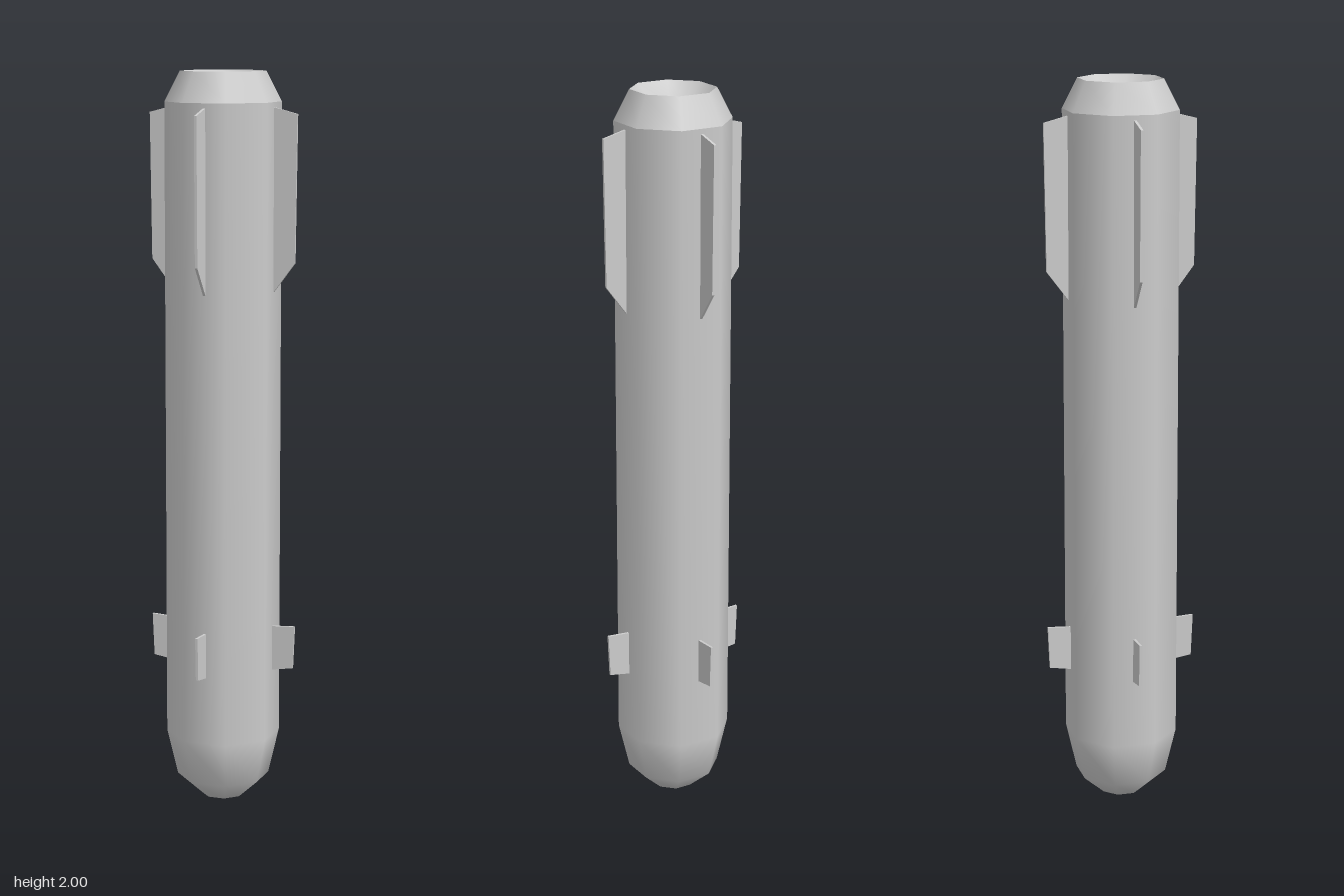
import * as THREE from 'three';

export function createModel() {
  const model = new THREE.Group();
  const grey = new THREE.MeshStandardMaterial({ color: 0xcccccc });
  grey.name = 'light grey';

  // Eight-sided turned part; profile points are [distance to flat side, height]
  const corner = 1 / Math.cos(Math.PI / 8);
  function turned(name, profile) {
    const points = profile.map(([r, y]) => new THREE.Vector2(r * corner, y));
    const mesh = new THREE.Mesh(new THREE.LatheGeometry(points, 8, Math.PI / 8), grey);
    mesh.name = name;
    model.add(mesh);
  }

  // Rounded nose runs smoothly into the tube
  turned('body', [[0, 0], [0.055, 0.018], [0.116, 0.075], [0.143, 0.2], [0.143, 1.92]]);
  turned('tailTaper', [[0.143, 1.92], [0.105, 2]]);
  turned('nozzleBowl', [[0.105, 2], [0.065, 1.95], [0, 1.93]]);

  // Four thin fins on the diagonal faces; outline is [radius, height]
  function fins(name, outline) {
    const thickness = 0.007;
    const shape = new THREE.Shape(outline.map(([r, y]) => new THREE.Vector2(r, y)));
    const geometry = new THREE.ExtrudeGeometry(shape, { depth: thickness, bevelEnabled: false });
    geometry.translate(0, 0, -thickness / 2);
    const group = new THREE.Group();
    group.name = name + 's';
    for (let i = 0; i < 4; i++) {
      const fin = new THREE.Mesh(geometry, grey);
      fin.name = name;
      fin.rotation.y = Math.PI / 4 + i * Math.PI / 2;
      group.add(fin);
    }
    model.add(group);
  }
  fins('tailFin', [[0.138, 1.415], [0.202, 1.5], [0.207, 1.89], [0.138, 1.908]]);
  fins('noseFin', [[0.138, 0.385], [0.202, 0.395], [0.207, 0.512], [0.138, 0.508]]);

  return model;
}
